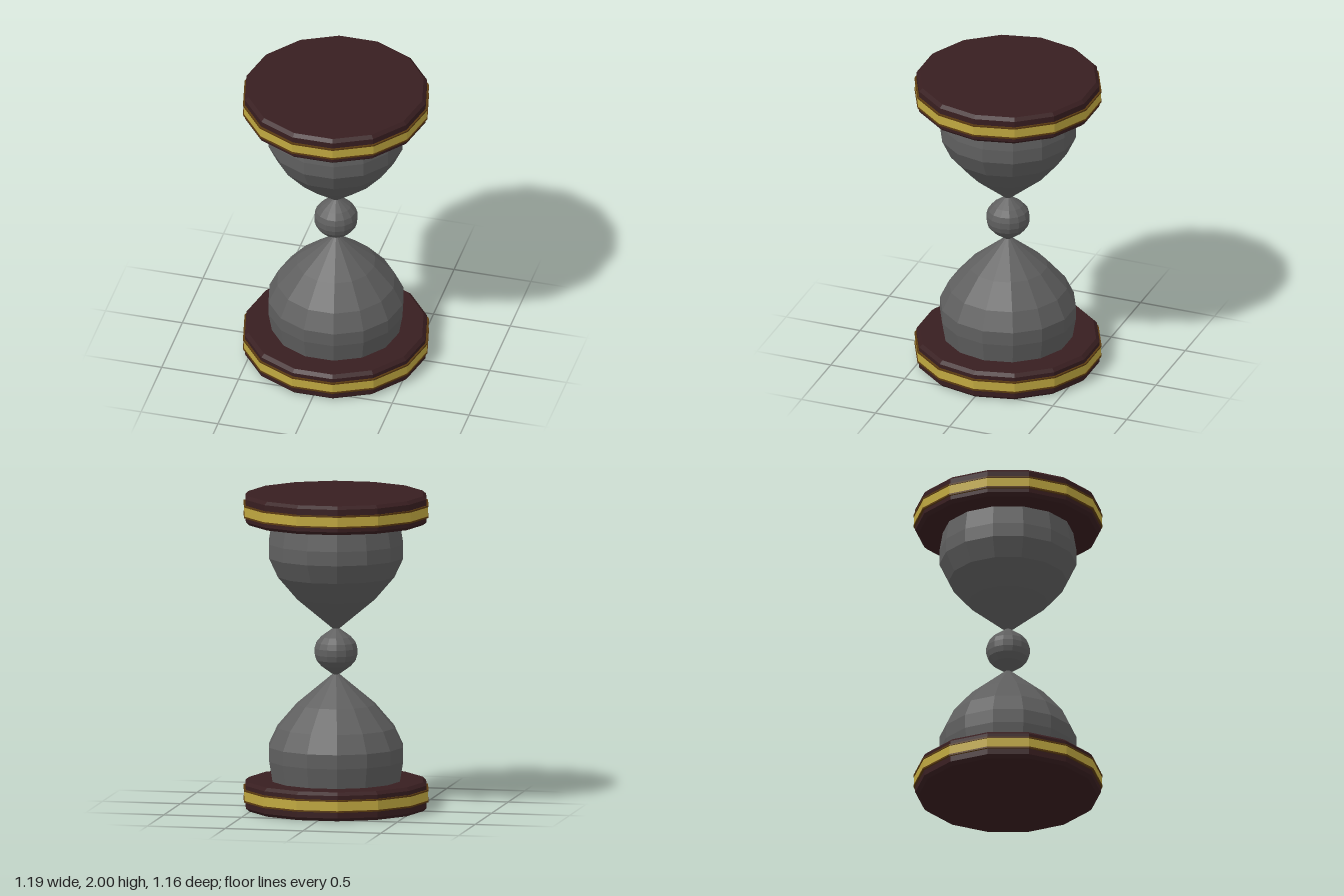
import * as THREE from 'three';

const SIDES = 14;

function material(name, color) {
  const m = new THREE.MeshStandardMaterial({ color, flatShading: true });
  m.name = name;
  return m;
}

// Faceted turned part; profile points are [radius, y] from bottom to top
function turned(name, profile, mat) {
  const points = profile.map(([r, y]) => new THREE.Vector2(r, y));
  const mesh = new THREE.Mesh(new THREE.LatheGeometry(points, SIDES, Math.PI / 2), mat);
  mesh.name = name;
  return mesh;
}

// Mirrors a profile about y = 1, keeping the bottom-to-top order
const flip = (profile) => profile.map(([r, y]) => [r, 2 - y]).reverse();

// Profile of a plain ring between two heights
const ring = (r, y0, y1) => [[0.575, y0], [r, y0], [r, y1], [0.575, y1]];

export function createModel() {
  const wood = material('dark wood', 0x381e20);
  const brass = material('brass', 0xc0a840);
  const bronze = material('dark bronze', 0x5a3a10);
  const glass = material('grey glass', 0x5f5f5f);
  const group = new THREE.Group();
  group.name = 'hourglass';

  // End plates with chamfered rims
  const plate = [[0, 0], [0.561, 0], [0.583, 0.02], [0.583, 0.163], [0.561, 0.183], [0, 0.183]];

  // Bulb tapering to the narrow neck
  const bulb = [[0, 0.17], [0.408, 0.17], [0.432, 0.31], [0.432, 0.4], [0.375, 0.52],
    [0.25, 0.665], [0.022, 0.855], [0, 0.865]];

  for (const [side, shape] of [['bottom', (p) => p], ['top', flip]]) {
    group.add(
      turned(side + 'Plate', shape(plate), wood),
      turned(side + 'Bulb', shape(bulb), glass),
      // Brass band between two thin dark beads
      turned(side + 'Band', shape(ring(0.59, 0.068, 0.127)), brass),
      turned(side + 'LowerTrim', shape(ring(0.595, 0.058, 0.068)), bronze),
      turned(side + 'UpperTrim', shape(ring(0.595, 0.127, 0.137)), bronze),
    );
  }

  // Round bead joining the two bulbs
  const halfBead = [[0, 0.855], [0.022, 0.855], [0.095, 0.908], [0.126, 0.945], [0.137, 0.98]];
  group.add(turned('neckBead', [...halfBead, ...flip(halfBead)], glass));

  return group;
}
